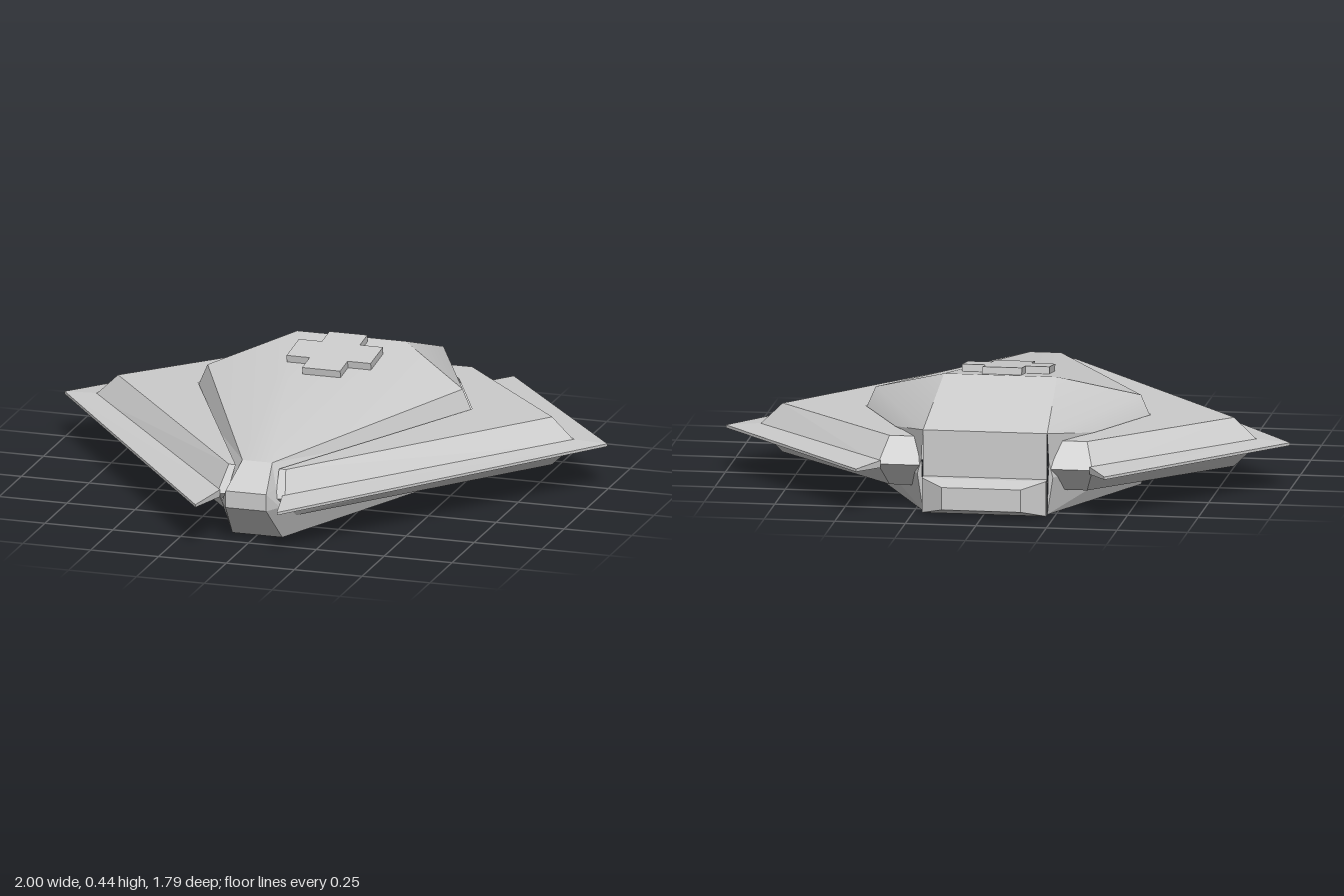
import * as THREE from 'three';
import { mergeVertices } from 'three/addons/utils/BufferGeometryUtils.js';

const MID = 0.1625; // height of the waist line
const material = (flatShading) => new THREE.MeshStandardMaterial({
  color: 0xcccccc, flatShading, side: THREE.DoubleSide,
});
const flat = material(true);
const smooth = material(false);

// Builds a mesh from panels (corner loops), each turned to face away from a centre.
function panels(name, faces, centre, mat = flat) {
  const pos = [];
  const c = new THREE.Vector3(...centre);
  for (const face of faces) {
    const p = face.map((q) => new THREE.Vector3(...q));
    const normal = new THREE.Vector3();
    const mean = new THREE.Vector3();
    for (let i = 0; i < p.length; i++) {
      normal.add(new THREE.Vector3().crossVectors(p[i], p[(i + 1) % p.length]));
      mean.addScaledVector(p[i], 1 / p.length);
    }
    // keep the first corner in place so the fan stays the same
    if (normal.dot(mean.sub(c)) < 0) p.push(p.shift()), p.reverse();
    for (let i = 1; i < p.length - 1; i++) {
      for (const v of [p[0], p[i], p[i + 1]]) pos.push(v.x, v.y, v.z);
    }
  }
  let g = new THREE.BufferGeometry();
  g.setAttribute('position', new THREE.Float32BufferAttribute(pos, 3));
  if (mat === smooth) g = mergeVertices(g);
  g.computeVertexNormals();
  const mesh = new THREE.Mesh(g, mat);
  mesh.name = name;
  return mesh;
}

const mx = ([x, y, z]) => [-x, y, z];
const my = ([x, y, z]) => [x, 2 * MID - y, z];
const both = (faces) => [...faces, ...faces.map((f) => f.map(mx))];
const across = (a, b) => [a, b, mx(b), mx(a)];

// Central body: a faceted shell, open underneath
function centralBody() {
  const noseTop = [0.055, 0.27, 0.65];
  const noseUp = [0.075, 0.193, 0.78];
  const noseLow = my(noseUp);
  const noseBase = [0.092, 0, 0.65];
  const cheekUp = [0.085, 0.193, 0.7];
  const cheekLow = [0.108, 0.132, 0.72];
  const shoulder = [0.47, 0.32, -0.23];
  const ridge = [0.2, 0.415, -0.415];
  const tailTop = [0.22, 0.29, -0.78];
  const waistUp = [0.525, 0.193, -0.23];
  const waistLow = my(waistUp);
  const tailUp = [0.225, 0.193, -0.78];
  const tailLow = [0.24, 0.132, -0.78];
  const base = [0.47, 0, -0.23];
  const tailBase = [0.22, 0, -0.78];
  const centre = [0, 0.14, -0.1];
  const flank = [[shoulder, tailTop, ridge], [shoulder, waistUp, tailTop]];

  const body = new THREE.Group();
  body.name = 'centralBody';
  body.add(
    panels('roof', [across(noseTop, ridge), ...both([[noseTop, shoulder, ridge]])], centre, smooth),
    panels('rearSlope', [across(ridge, tailTop)], centre),
    panels('leftFlank', flank, centre, smooth),
    panels('rightFlank', flank.map((f) => f.map(mx)), centre, smooth),
    panels('walls', [
      across(noseTop, noseUp), across(noseUp, noseLow), across(noseLow, noseBase),
      across(tailTop, tailBase),
      ...both([
        // nose cheeks
        [noseTop, noseUp, cheekUp],
        [noseUp, noseLow, cheekLow, cheekUp],
        [noseLow, noseBase, cheekLow],
        // front sides: upper slope, waist band, lower slope
        [noseTop, cheekUp, waistUp, shoulder],
        [cheekUp, cheekLow, waistLow, waistUp],
        [cheekLow, noseBase, base, waistLow],
        // rear sides
        [waistUp, tailUp, tailTop],
        [waistUp, waistLow, tailLow, tailUp],
        [waistLow, base, tailBase, tailLow],
        [tailUp, tailLow, tailBase],
      ]),
    ], centre),
  );
  return body;
}

// Side hull: bevelled rim under a flat deck, hollow underneath
function sideHull() {
  const T = 0.25;
  const top = [[0.08, T, 0.65], [0.105, T, 0.65], [0.8, T, -0.23],
    [0.35, T, -0.705], [0.255, T, -0.705]];
  const rim = [[0.09, MID, 0.72], [0.125, MID, 0.72], [0.89, MID, -0.23],
    [0.38, MID, -0.78], [0.222, MID, -0.78]];
  const innerFront = [0.505, T, -0.23];
  const innerRear = [0.352, T, -0.553];
  const deck = [
    [top[0], top[1], top[2], innerFront],
    [top[2], top[3], top[4], innerRear, innerFront],
  ];
  const bevels = [0, 1, 2, 3].map((i) => [top[i], top[i + 1], rim[i + 1], rim[i]]);
  return panels('sideHull', [...deck, ...bevels, ...bevels.map((f) => f.map(my))],
    [0.5, MID, -0.15]);
}

// Blade: thin flange around the side hull, tapering to a fine outer edge
function blade() {
  const y = MID + 0.013, e = MID + 0.005;
  const inner = [[0.115, y, 0.72], [0.88, y, -0.23], [0.37, y, -0.78]];
  const outer = [[0.15, e, 0.89], [1, e, -0.24], [0.44, e, -0.9]];
  const upper = [0, 1].map((i) => [inner[i], inner[i + 1], outer[i + 1], outer[i]]);
  const edges = [0, 1].map((i) => [outer[i], outer[i + 1], my(outer[i + 1]), my(outer[i])]);
  const ends = [0, 2].map((i) => [inner[i], outer[i], my(outer[i]), my(inner[i])]);
  return panels('blade', [...upper, ...upper.map((f) => f.map(my)), ...edges, ...ends],
    [0.5, MID, -0.15]);
}

// Stern block: chamfered box under the rear face
function sternBlock() {
  const ring = (x, y0, y1, z) => [[x, y0, z], [x, y1, z], [-x, y1, z], [-x, y0, z]];
  const rings = [ring(0.22, 0, 0.125, -0.78), ring(0.22, 0, 0.125, -0.81),
    ring(0.14, 0.025, 0.105, -0.872)];
  const faces = [rings[2]];
  for (let r = 0; r < 2; r++) {
    for (let i = 0; i < 4; i++) {
      const j = (i + 1) % 4;
      faces.push([rings[r][i], rings[r][j], rings[r + 1][j], rings[r + 1][i]]);
    }
  }
  return panels('sternBlock', faces, [0, 0.06, -0.8]);
}

// Cross-shaped plate lying on the sloping roof
function roofPlate() {
  const a = 0.07, b = 0.155;
  const pts = [[a, b], [a, a], [b, a], [b, -a], [a, -a], [a, -b],
    [-a, -b], [-a, -a], [-b, -a], [-b, a], [-a, a], [-a, b]];
  const shape = new THREE.Shape(pts.map(([x, y]) => new THREE.Vector2(x, y)));
  const g = new THREE.ExtrudeGeometry(shape, { depth: 0.03, bevelEnabled: false });
  g.rotateX(-Math.PI / 2 + Math.atan(0.136));
  g.translate(0, 0.385, -0.23);
  const mesh = new THREE.Mesh(g, flat);
  mesh.name = 'roofPlate';
  return mesh;
}

export function createModel() {
  const model = new THREE.Group();
  model.name = 'craft';
  model.add(centralBody(), sternBlock(), roofPlate());
  // left and right wings
  for (const [name, s] of [['leftWing', 1], ['rightWing', -1]]) {
    const wing = new THREE.Group();
    wing.name = name;
    wing.add(sideHull(), blade());
    wing.scale.x = s;
    model.add(wing);
  }
  return model;
}
